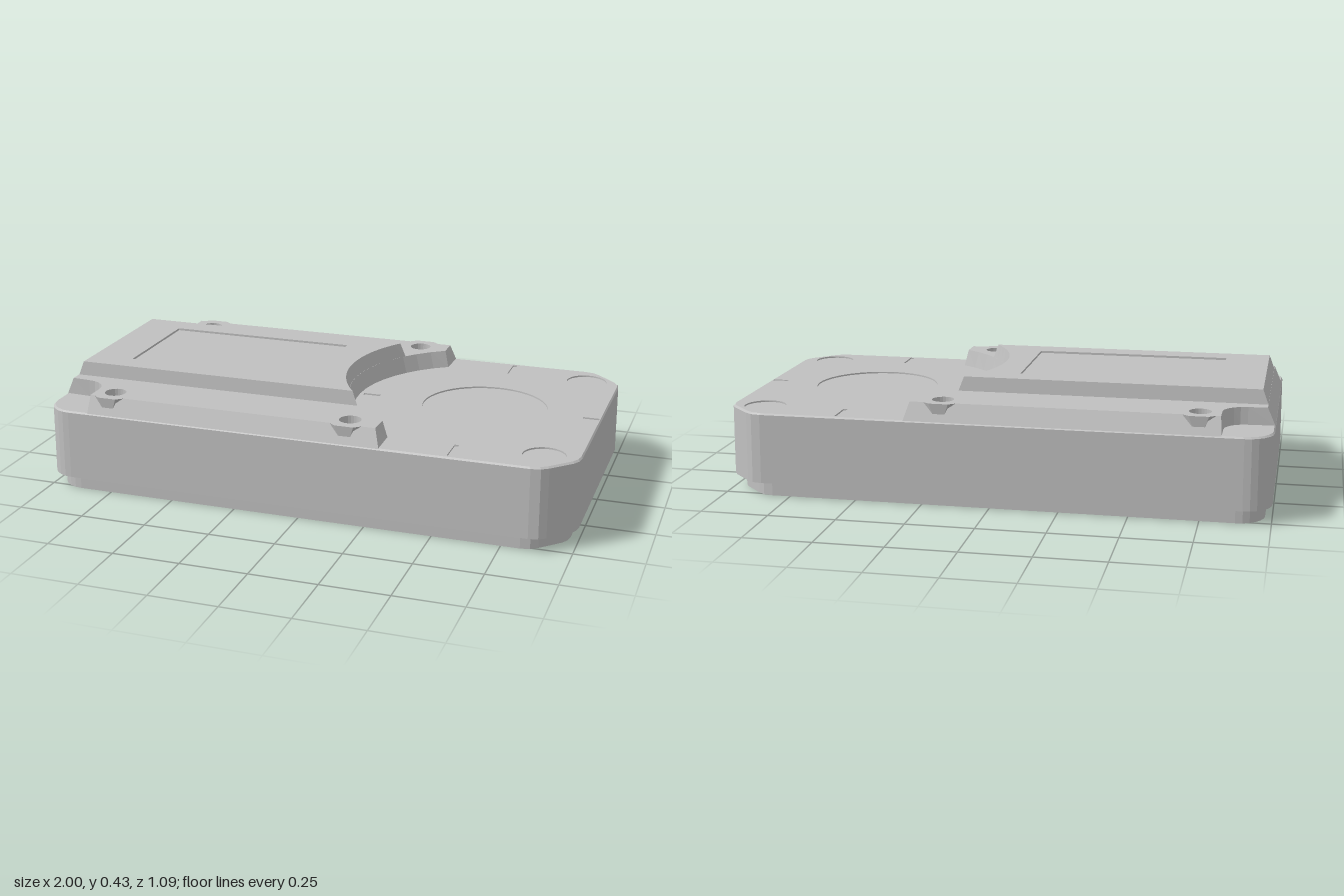
import * as THREE from 'three';

const V = (x, z) => new THREE.Vector2(x, z);

// Completes a half outline (z >= 0, left to right) with its mirror image
function mirrorOutline(half) {
  const pts = half.map(([x, z]) => V(x, z));
  const other = half.filter(([, z]) => z > 0).reverse().map(([x, z]) => V(x, -z));
  return pts.concat(other);
}

function circle(x, z, r, n = 32) {
  return Array.from({ length: n }, (_, i) => {
    const a = (i / n) * Math.PI * 2;
    return V(x + r * Math.cos(a), z + r * Math.sin(a));
  });
}

const rect = (x0, x1, z0, z1) => [V(x0, z0), V(x1, z0), V(x1, z1), V(x0, z1)];

// Tapered solid between two outlines, with optional pockets sunk in its top
function solid(low, high, y0, y1, pockets = []) {
  const pos = [];
  const put = (p, y) => pos.push(p.x, y, p.y);
  const quad = (a, ya, b, yb, c, yc, d, yd) => {
    put(a, ya); put(b, yb); put(c, yc);
    put(a, ya); put(c, yc); put(d, yd);
  };
  const cap = (contour, holes, y, up) => {
    const all = contour.concat(...holes);
    for (const [i, j, k] of THREE.ShapeUtils.triangulateShape(contour.slice(), holes.map(h => h.slice()))) {
      const a = all[i], b = all[j], c = all[k];
      const cross = (b.x - a.x) * (c.y - a.y) - (b.y - a.y) * (c.x - a.x);
      const tri = (cross < 0) === up ? [a, b, c] : [a, c, b];
      tri.forEach(p => put(p, y));
    }
  };
  if (THREE.ShapeUtils.area(low) < 0) {
    low = low.slice().reverse();
    high = high.slice().reverse();
  }
  low.forEach((a, i) => {
    const j = (i + 1) % low.length;
    quad(a, y0, high[i], y1, high[j], y1, low[j], y0);
  });
  cap(low, [], y0, false);
  cap(high, pockets.map(p => p.pts), y1, true);
  for (const { pts, depth } of pockets) {
    pts.forEach((a, i) => {
      const b = pts[(i + 1) % pts.length];
      quad(a, y1 - depth, b, y1 - depth, b, y1, a, y1);
    });
    cap(pts, [], y1 - depth, true);
  }
  const g = new THREE.BufferGeometry();
  g.setAttribute('position', new THREE.Float32BufferAttribute(pos, 3));
  g.computeVertexNormals();
  return g;
}

// Case outline: rounded left corners, softened chamfers on the right
function caseOutline(x0, x1, w) {
  const half = [];
  const r = 0.1;
  for (let i = 0; i <= 6; i++) {
    const a = (i / 6) * Math.PI / 2;
    half.push([x0 + r - r * Math.cos(a), w - r + r * Math.sin(a)]);
  }
  half.push([x1 - 0.15, w], [x1 - 0.115, w - 0.007], [x1 - 0.09, w - 0.025],
    [x1 - 0.02, w - 0.095], [x1 - 0.005, w - 0.12], [x1, w - 0.15]);
  return mirrorOutline(half);
}

// Concave edge wrapped around the round dial, from half-width z to the centre
function dialArc(r, z, n = 8) {
  const end = Math.asin(z / r);
  return Array.from({ length: n + 1 }, (_, i) => {
    const a = end * (1 - i / n);
    return [0.56 - r * Math.cos(a), i === n ? 0 : r * Math.sin(a)];
  });
}

// Raised deck outline with notched left corners
function deckOutline(left, side, notch, right, r, zArc) {
  const half = [[left, 0.355], [-0.9, 0.36]];
  for (let i = 1; i <= 5; i++) {
    const a = (i / 5) * Math.PI / 2;
    half.push([-0.9 + (notch + 0.9) * Math.sin(a), 0.44 - 0.08 * Math.cos(a)]);
  }
  half.push([notch, side], [right, side], ...dialArc(r, zArc));
  return mirrorOutline(half);
}

export function createModel() {
  const group = new THREE.Group();
  const grey = new THREE.MeshStandardMaterial({ color: 0xc0c0c0 });
  grey.name = 'light grey';
  const add = (name, geometry) => {
    const m = new THREE.Mesh(geometry, grey);
    m.name = name;
    group.add(m);
  };

  // Inset foot
  const foot = caseOutline(-0.975, 0.968, 0.515);
  add('foot', solid(foot, foot, 0, 0.055));

  // Main case with a shallow dial, corner discs and index slots
  const pockets = [{ pts: circle(0.56, 0, 0.235, 48), depth: 0.006 }];
  for (const s of [-1, 1]) {
    pockets.push({ pts: circle(0.87, s * 0.415, 0.077), depth: 0.006 });
    pockets.push({ pts: rect(0.552, 0.568, s * 0.47 - 0.055, s * 0.47 + 0.055), depth: 0.01 });
  }
  pockets.push({ pts: rect(0.93, 0.99, -0.008, 0.008), depth: 0.01 });
  pockets.push({ pts: rect(0.085, 0.15, -0.008, 0.008), depth: 0.01 });
  const wall = caseOutline(-1, 1, 0.543);
  const shoulder = caseOutline(-0.998, 0.998, 0.54);
  const rim = caseOutline(-0.993, 0.993, 0.535);
  add('case', solid(wall, shoulder, 0.053, 0.31));
  add('caseTop', solid(shoulder, rim, 0.31, 0.316, pockets));

  // Stepped deck with screw holes
  const screwX = [-0.74, 0.18];
  const holes = [];
  for (const x of screwX) for (const s of [-1, 1]) {
    holes.push({ pts: circle(x, s * 0.455, 0.04, 24), depth: 0.03 });
  }
  add('deck', solid(
    deckOutline(-0.997, 0.537, -0.82, 0.31, 0.49, 0.42),
    deckOutline(-0.968, 0.51, -0.815, 0.29, 0.507, 0.43),
    0.314, 0.38, holes));

  // Small bosses bulging from the sloped deck sides beside the screws
  for (const x of screwX) for (const s of [-1, 1]) {
    const low = [[-0.025, 0.5], [0.025, 0.5], [0.02, 0.525], [-0.02, 0.525]];
    const high = [[-0.065, 0.505], [0.065, 0.505], [0.035, 0.53], [-0.035, 0.53]];
    const place = pts => pts.map(([dx, z]) => V(x + dx, s * z));
    add('screwBoss', solid(place(low), place(high), 0.335, 0.38));
  }

  // Upper platform with a sunken rectangular panel
  const platform = (left, w, r) => mirrorOutline([[left, w], ...dialArc(r, w)]);
  add('upperPlatform', solid(
    platform(-0.968, 0.31, 0.507), platform(-0.948, 0.304, 0.52), 0.379, 0.433,
    [{ pts: rect(-0.785, -0.055, -0.215, 0.215), depth: 0.008 }]));

  return group;
}
